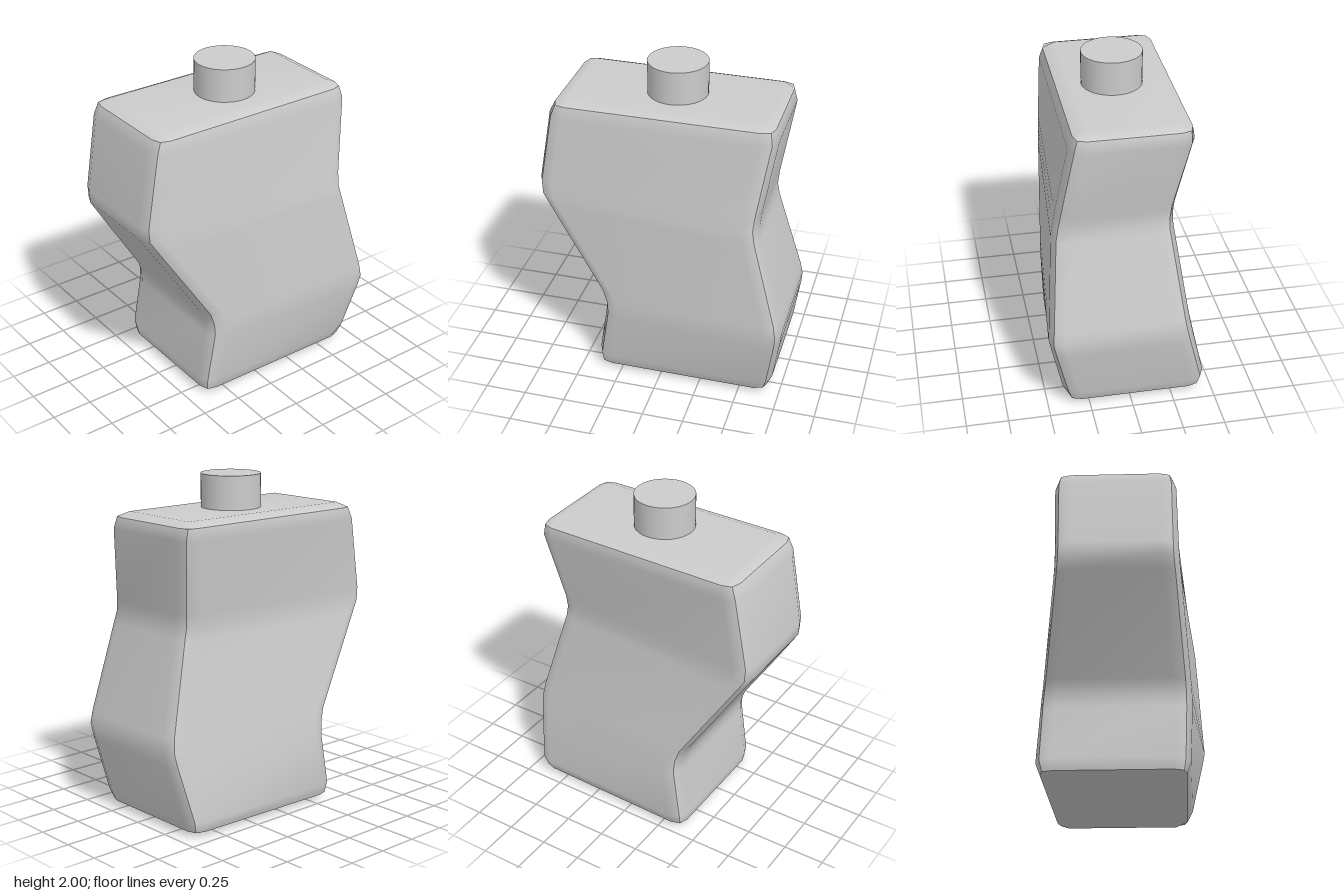
import * as THREE from 'three';

// Body sections, bottom to top: y, front z, back z,
// then x of the front-left, front-right, back-left, back-right corners as seen from the front
const SECTIONS = [
  [0.00, 0.33, -0.60, -0.39, 0.29, -0.36, 0.30],
  [0.03, 0.39, -0.67, -0.46, 0.365, -0.43, 0.37],
  [0.10, 0.405, -0.70, -0.487, 0.385, -0.455, 0.405],
  [0.42, 0.355, -0.752, -0.48, 0.394, -0.37, 0.48],
  [0.50, 0.36, -0.76, -0.475, 0.394, -0.35, 0.497],
  [0.58, 0.385, -0.748, -0.465, 0.39, -0.335, 0.49],
  [1.11, 0.715, -0.605, -0.387, 0.342, -0.265, 0.447],
  [1.18, 0.757, -0.592, -0.378, 0.335, -0.264, 0.433],
  [1.26, 0.762, -0.598, -0.377, 0.333, -0.272, 0.419],
  [1.70, 0.687, -0.667, -0.385, 0.33, -0.363, 0.345],
  [1.77, 0.65, -0.645, -0.365, 0.31, -0.352, 0.315],
  [1.80, 0.58, -0.58, -0.30, 0.24, -0.29, 0.24],
];
const LAST = SECTIONS.length - 1;

// Point on a section: s runs left to right, t runs front to back
function point([y, zf, zb, lf, rf, lb, rb], s, t) {
  const { lerp } = THREE.MathUtils;
  return [lerp(lerp(lf, rf, s), lerp(lb, rb, s), t), y, lerp(zf, zb, t)];
}

// Outline point on a 4 x 4 layout whose outer cells form a two-step rounded corner
function outline(k, i, j) {
  const row = SECTIONS[k];
  const rim = k === 1 || k === LAST - 1;
  const width = row[4] - row[3], depth = row[1] - row[2];
  const bevel = rim ? 0.075 : 0.095, mid = rim ? 0.018 : 0.028;
  const iEdge = i % 3 === 0, jEdge = j % 3 === 0;
  const inset = (n, edge, other, size) => {
    const d = (edge ? (other ? mid : 0) : bevel) / size;
    return n < 2 ? d : 1 - d;
  };
  return point(row, inset(i, iEdge, jEdge, width), inset(j, jEdge, iEdge, depth));
}

// Smooth grid surface; separate panels keep the seams between them crisp
function panel(name, cols, rows, at, material) {
  const pos = [], index = [];
  for (let v = 0; v < rows; v++) for (let u = 0; u < cols; u++) pos.push(...at(u, v));
  for (let v = 0; v < rows - 1; v++) {
    for (let u = 0; u < cols - 1; u++) {
      const a = v * cols + u, b = a + 1, c = a + cols, d = c + 1;
      index.push(a, b, d, a, d, c);
    }
  }
  const geo = new THREE.BufferGeometry();
  geo.setAttribute('position', new THREE.Float32BufferAttribute(pos, 3));
  geo.setIndex(index);
  geo.computeVertexNormals();
  const mesh = new THREE.Mesh(geo, material);
  mesh.name = name;
  return mesh;
}

export function createModel() {
  const material = new THREE.MeshStandardMaterial({ color: 0xcccccc });
  const model = new THREE.Group();
  model.name = 'bottle';
  const body = new THREE.Group();
  body.name = 'body';
  model.add(body);

  // Four wall panels
  const walls = {
    frontWall: (u) => [u, 0],
    leftWall: (u) => [3, u],
    backWall: (u) => [3 - u, 3],
    rightWall: (u) => [0, 3 - u],
  };
  for (const [name, path] of Object.entries(walls)) {
    body.add(panel(name, 4, LAST - 1, (u, v) => outline(v + 1, ...path(u)), material));
  }

  // Top and bottom with bevelled rims
  const cap = (rim, flat) => (i, j) =>
    i % 3 && j % 3 ? point(SECTIONS[flat], i - 1, j - 1) : outline(rim, i, j);
  const top = cap(LAST - 1, LAST), bottom = cap(1, 0);
  body.add(panel('top', 4, 4, top, material));
  body.add(panel('bottom', 4, 4, (u, v) => bottom(u, 3 - v), material));

  // Round neck
  const neck = new THREE.Mesh(new THREE.CylinderGeometry(0.178, 0.178, 0.22, 32), material);
  neck.name = 'neck';
  neck.position.set(-0.006, 1.89, -0.015);
  model.add(neck);

  return model;
}
